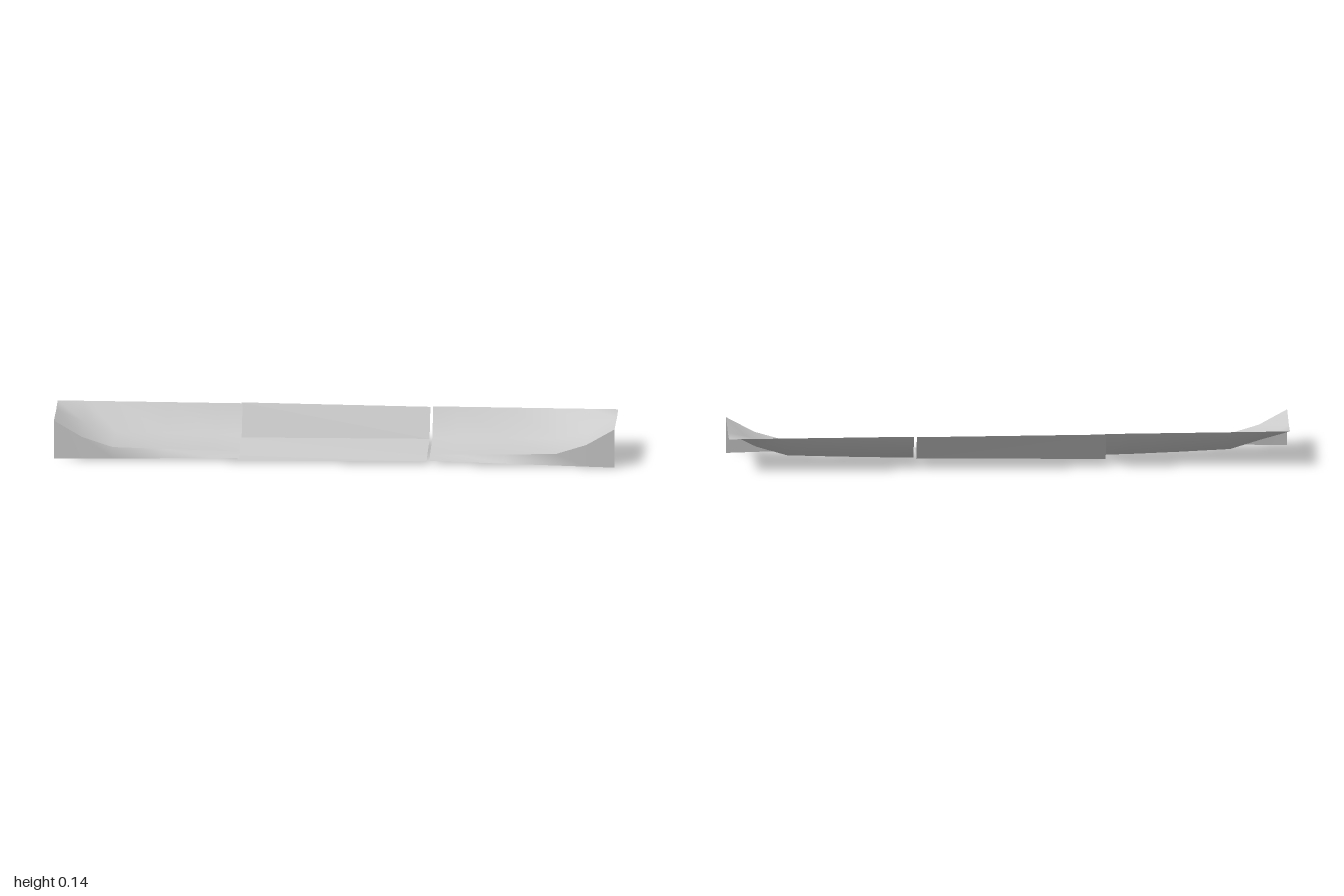
import * as THREE from 'three';

const material = new THREE.MeshStandardMaterial({ color: 0xcccccc, side: THREE.DoubleSide });

// Skin a sheet through cross-sections; every section is a row of [x, y, z] points.
function sheet(name, sections, smooth = true) {
  const n = sections[0].length;
  const index = [];
  for (let i = 0; i < sections.length - 1; i++) {
    for (let j = 0; j < n - 1; j++) {
      const a = i * n + j, b = a + n;
      index.push(a, b, a + 1, b, b + 1, a + 1);
    }
  }
  let geometry = new THREE.BufferGeometry();
  geometry.setAttribute('position', new THREE.Float32BufferAttribute(sections.flat(2), 3));
  geometry.setIndex(index);
  if (!smooth) geometry = geometry.toNonIndexed();
  geometry.computeVertexNormals();
  const mesh = new THREE.Mesh(geometry, material);
  mesh.name = name;
  return mesh;
}

// Wing stations: x, front crease [y, z], floor rear [y, z], rear top edge [y, z]
const stations = [
  [0.34, [0.024, 0.085], [0.042, -0.06], [0.142, -0.12]],
  [0.43, [0.026, 0.085], [0.043, -0.059], [0.142, -0.12]],
  [0.61, [0.036, 0.107], [0.047, -0.054], [0.142, -0.12]],
  [0.79, [0.046, 0.127], [0.052, -0.047], [0.142, -0.12]],
  [0.90, [0.081, 0.124], [0.085, -0.043], [0.142, -0.12]],
  [1.00, [0.139, 0.12], [0.135, -0.035], [0.142, -0.12]],
];

// One upswept wing with its front plate; side is +1 for left, -1 for right
function wing(side) {
  const group = new THREE.Group();
  group.name = side > 0 ? 'leftWing' : 'rightWing';
  const order = side > 0 ? stations : [...stations].reverse();
  const at = (x, [y, z]) => [side * x, y, z];
  const bottom = (x) => [side * x, THREE.MathUtils.mapLinear(x, 0.34, 1, 0.014, 0), 0.13];
  group.add(
    sheet('wingSurface', order.map(([x, ...points]) => points.map((p) => at(x, p)))),
    sheet('frontPlate', order.map(([x, crease]) => [bottom(x), at(x, crease)])),
  );
  return group;
}

export function createModel() {
  const model = new THREE.Group();
  model.name = 'frontWing';

  // Slightly tapered centre panel with a sharp rear fold
  const centre = sheet('centrePanel', [
    [[-0.345, 0.005, 0.13], [-0.345, 0.008, 0.08], [-0.345, 0.03, -0.07], [-0.345, 0.143, -0.128]],
    [[0.33, 0.011, 0.13], [0.33, 0.02, 0.08], [0.33, 0.038, -0.063], [0.33, 0.14, -0.12]],
  ], false);

  model.add(centre, wing(1), wing(-1));
  return model;
}
